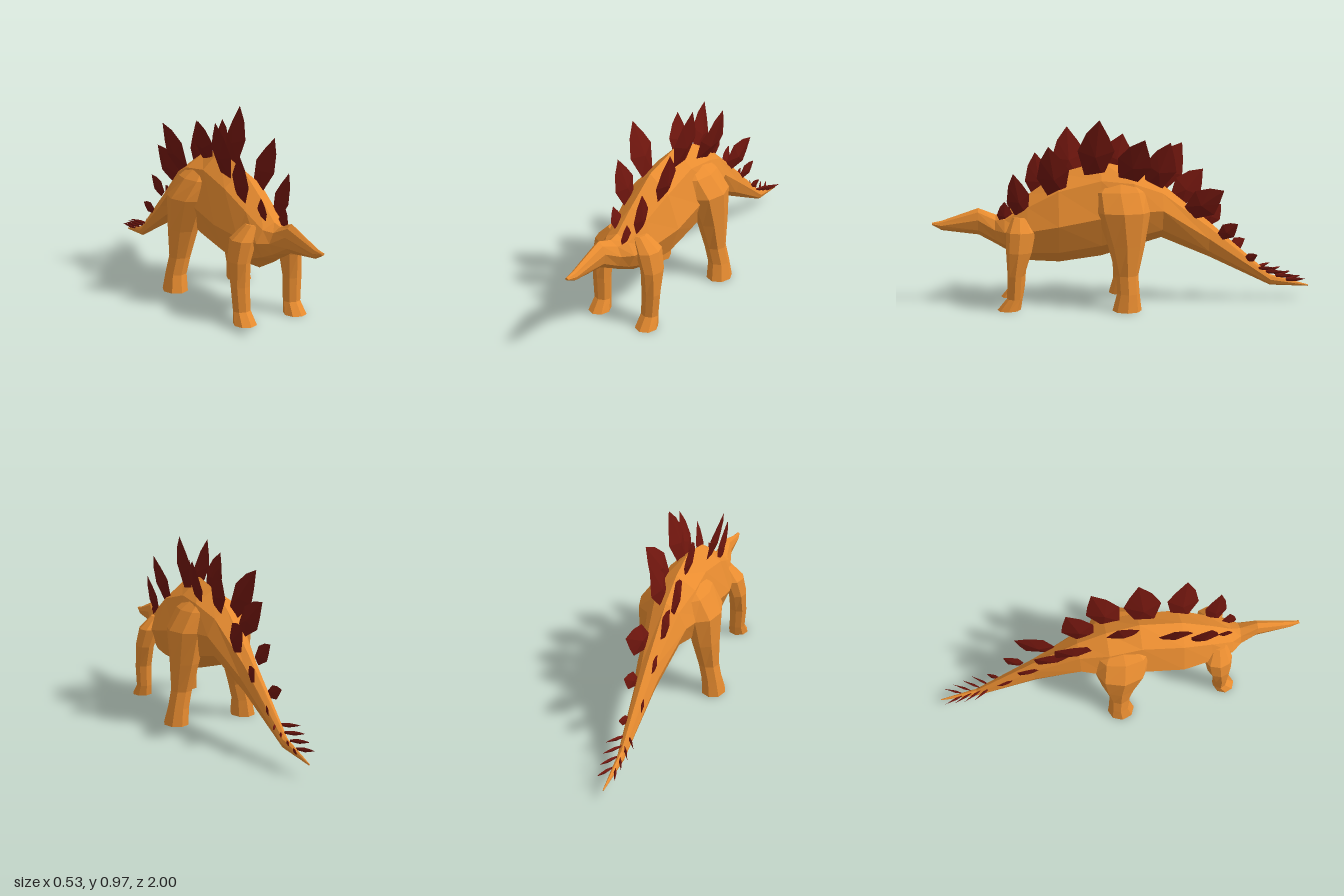
import * as THREE from 'three';
import { ConvexGeometry } from 'three/addons/geometries/ConvexGeometry.js';

const skin = new THREE.MeshStandardMaterial({ color: 0xe88c30, flatShading: true });
const plateSkin = new THREE.MeshStandardMaterial({ color: 0x70160e, flatShading: true });

// Joins closed rings of [x, y, z] points and caps both ends
function loft(rings) {
  const n = rings[0].length, last = rings.length - 1, index = [];
  for (let i = 0; i < last; i++) {
    for (let j = 0; j < n; j++) {
      const a = i * n + j, b = i * n + (j + 1) % n;
      index.push(a, a + n, b, b, a + n, b + n);
    }
  }
  for (let j = 1; j < n - 1; j++) {
    index.push(0, j, j + 1, last * n, last * n + j + 1, last * n + j);
  }
  const g = new THREE.BufferGeometry();
  g.setAttribute('position', new THREE.Float32BufferAttribute(rings.flat(2), 3));
  g.setIndex(index);
  g.computeVertexNormals();
  return g;
}

function add(parent, name, geometry, material) {
  const mesh = new THREE.Mesh(geometry, material);
  mesh.name = name;
  parent.add(mesh);
}

// Faceted cross-section of the body: ridge, shoulder, flank, belly edge, keel
function bodyRing([z, top, bottom, w, mid]) {
  const half = [
    [0.64 * w, top - 0.33 * (top - mid)],
    [w, mid],
    [0.66 * w, mid - 0.68 * (mid - bottom)],
  ];
  return [
    [0, top, z], ...half.map(([x, y]) => [x, y, z]),
    [0, bottom, z], ...half.reverse().map(([x, y]) => [-x, y, z]),
  ];
}

// Leg section: [y, centre x, half width, back z, front z]
function legRing([y, cx, rx, back, front], side) {
  return Array.from({ length: 8 }, (_, j) => {
    const a = j * Math.PI / 4;
    return [side * cx + rx * Math.cos(a), y,
      (back + front) / 2 + (front - back) / 2 * Math.sin(a)];
  });
}

// Leaf-shaped plate from base to tip, thickest in the middle
function plate(base, tip, w, thick) {
  const b = new THREE.Vector3(...base), d = new THREE.Vector3(...tip).sub(b);
  const across = d.clone().cross(new THREE.Vector3(1, 0, 0)).normalize();
  const out = across.clone().cross(d).normalize();
  const at = (v, u, t) => b.clone().addScaledVector(d, v)
    .addScaledVector(across, u * w).addScaledVector(out, t * thick);
  return new ConvexGeometry([
    at(0, -0.5, 0), at(0, 0.5, 0), at(0.42, -1, 0), at(0.48, 1, 0),
    at(0.75, -0.62, 0), at(0.72, 0.6, 0), at(1, 0, 0),
    at(0.35, 0, 1), at(0.35, 0, -1),
  ]);
}

export function createModel() {
  const model = new THREE.Group();

  // Tail, trunk, neck and head: [z, top, bottom, half width, y of widest point]
  const sections = [
    [-1, 0.075, 0.067, 0.003, 0.071],
    [-0.79, 0.135, 0.077, 0.02, 0.108],
    [-0.45, 0.43, 0.24, 0.055, 0.34],
    [-0.2, 0.63, 0.345, 0.11, 0.5],
    [-0.05, 0.71, 0.3, 0.16, 0.5],
    [0.12, 0.75, 0.25, 0.155, 0.47],
    [0.34, 0.69, 0.22, 0.165, 0.43],
    [0.5, 0.58, 0.23, 0.13, 0.4],
    [0.62, 0.485, 0.29, 0.1, 0.395],
    [0.67, 0.475, 0.32, 0.06, 0.4],
    [0.76, 0.51, 0.37, 0.036, 0.45],
    [0.95, 0.445, 0.395, 0.018, 0.42],
    [1, 0.435, 0.422, 0.009, 0.429],
  ];
  add(model, 'body', loft(sections.map(bodyRing)), skin);

  // Legs
  const frontLeg = [
    [0, 0.145, 0.058, 0.54, 0.66],
    [0.06, 0.145, 0.046, 0.53, 0.61],
    [0.18, 0.15, 0.05, 0.52, 0.605],
    [0.3, 0.148, 0.052, 0.48, 0.61],
    [0.4, 0.12, 0.06, 0.46, 0.61],
    [0.47, 0.07, 0.035, 0.5, 0.58],
  ];
  const hindLeg = [
    [0, 0.198, 0.067, -0.08, 0.07],
    [0.09, 0.188, 0.058, -0.07, 0.045],
    [0.18, 0.168, 0.058, -0.065, 0.05],
    [0.33, 0.15, 0.076, -0.1, 0.09],
    [0.5, 0.13, 0.096, -0.13, 0.15],
    [0.6, 0.09, 0.065, -0.11, 0.16],
    [0.66, 0.05, 0.03, -0.06, 0.1],
  ];
  for (const [side, label] of [[1, 'left'], [-1, 'right']]) {
    add(model, label + 'FrontLeg', loft(frontLeg.map(r => legRing(r, side))), skin);
    add(model, label + 'HindLeg', loft(hindLeg.map(r => legRing(r, side))), skin);
  }

  // Staggered back plates: base x, y, z, tip x, y, z, half width
  const plates = new THREE.Group();
  plates.name = 'backPlates';
  model.add(plates);
  const leftRow = [
    [0.045, 0.43, 0.62, 0.06, 0.55, 0.62, 0.04],
    [0.07, 0.47, 0.53, 0.115, 0.7, 0.57, 0.06],
    [0.08, 0.58, 0.35, 0.152, 0.84, 0.39, 0.085],
    [0.05, 0.68, 0.16, 0.112, 0.97, 0.13, 0.095],
    [0.07, 0.65, -0.01, 0.146, 0.87, -0.1, 0.09],
    [0.03, 0.61, -0.15, 0.065, 0.85, -0.24, 0.085],
    [0.045, 0.48, -0.34, 0.08, 0.6, -0.52, 0.08],
    [0.035, 0.35, -0.51, 0.06, 0.42, -0.6, 0.045],
    [0.02, 0.22, -0.65, 0.045, 0.25, -0.71, 0.026],
  ];
  const rightRow = [
    [-0.03, 0.48, 0.57, -0.05, 0.6, 0.58, 0.04],
    [-0.065, 0.55, 0.43, -0.1, 0.79, 0.465, 0.075],
    [-0.06, 0.65, 0.28, -0.132, 0.925, 0.295, 0.09],
    [-0.025, 0.68, 0.05, -0.063, 0.89, 0, 0.085],
    [-0.05, 0.6, -0.17, -0.1, 0.84, -0.32, 0.09],
    [-0.04, 0.53, -0.28, -0.075, 0.7, -0.43, 0.08],
    [-0.04, 0.41, -0.44, -0.065, 0.51, -0.53, 0.05],
    [-0.03, 0.28, -0.58, -0.055, 0.32, -0.66, 0.036],
  ];
  for (const p of [...leftRow, ...rightRow]) {
    add(plates, 'plate', plate(p.slice(0, 3), p.slice(3, 6), p[6], p[6] * 0.22), plateSkin);
  }

  // Paired tail spikes, raked backwards
  const spikes = new THREE.Group();
  spikes.name = 'tailSpikes';
  model.add(spikes);
  for (let i = 0; i < 4; i++) {
    const z = -0.71 - i * 0.055, y = 0.17 - i * 0.022;
    for (const side of [1, -1]) {
      add(spikes, 'tailSpike', plate([side * 0.008, y, z],
        [side * (0.073 - i * 0.009), y + 0.013, z - 0.095], 0.011, 0.007), plateSkin);
    }
  }
  return model;
}
